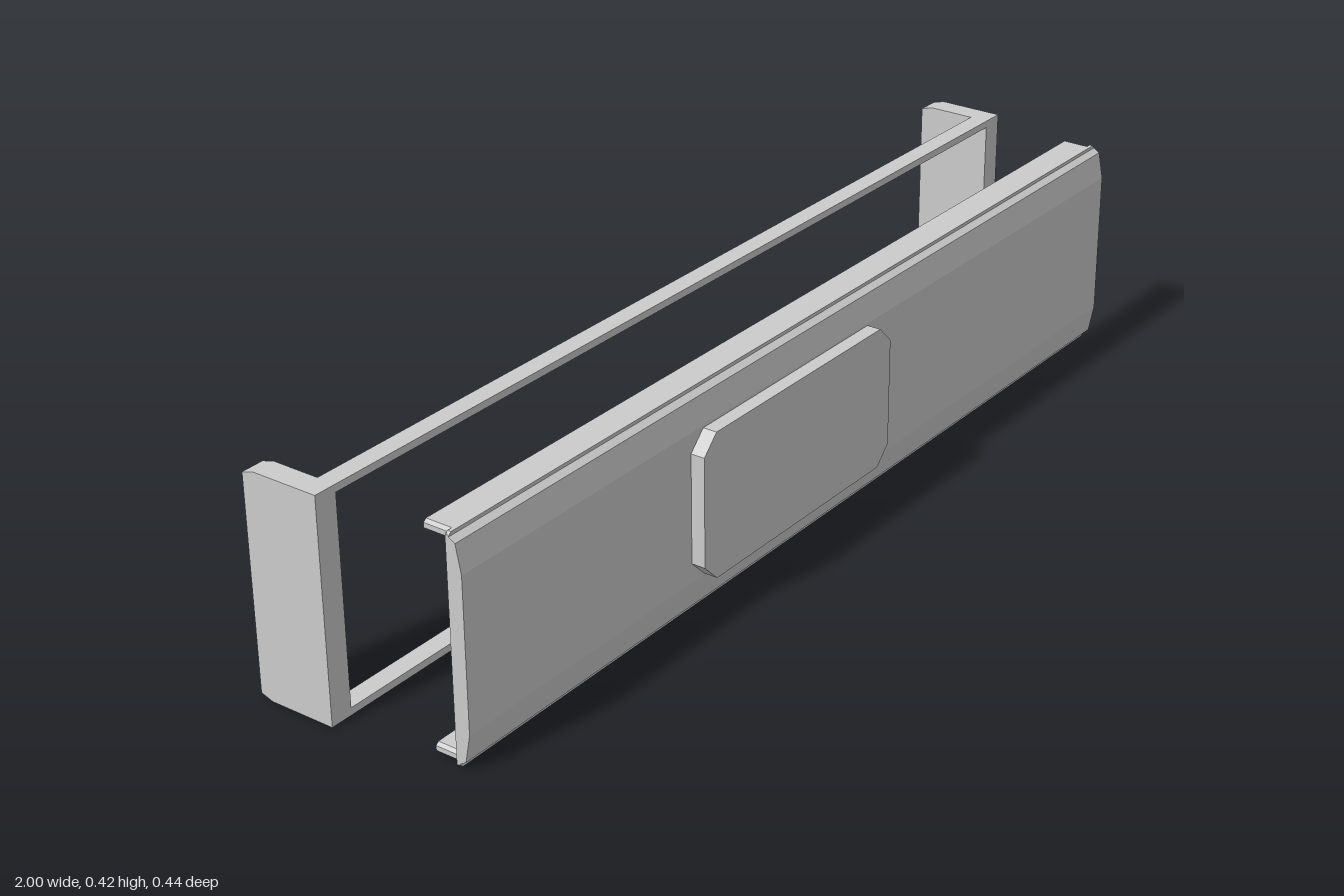
import * as THREE from 'three';

const material = new THREE.MeshStandardMaterial({ color: 0xcccccc, flatShading: true });

// Prism from a 2D outline, extruded along z from z0 to z1
function prismZ(name, points, z0, z1) {
  const shape = new THREE.Shape(points.map(([x, y]) => new THREE.Vector2(x, y)));
  const geometry = new THREE.ExtrudeGeometry(shape, { depth: z1 - z0, bevelEnabled: false });
  geometry.translate(0, 0, z0);
  const mesh = new THREE.Mesh(geometry, material);
  mesh.name = name;
  return mesh;
}

// Prism from a (z, y) outline, extruded along x from x0 to x1
function prismX(name, points, x0, x1) {
  const mesh = prismZ(name, points.map(([z, y]) => [-z, y]), 0, x1 - x0);
  mesh.geometry.rotateY(Math.PI / 2);
  mesh.geometry.translate(x0, 0, 0);
  return mesh;
}

// Rectangle with cut corners
function cutRectangle(x0, x1, y0, y1, cx, cy = cx) {
  return [
    [x0 + cx, y0], [x1 - cx, y0], [x1, y0 + cy], [x1, y1 - cy],
    [x1 - cx, y1], [x0 + cx, y1], [x0, y1 - cy], [x0, y0 + cy],
  ];
}

function box(name, x0, x1, y0, y1, z0, z1) {
  const geometry = new THREE.BoxGeometry(x1 - x0, y1 - y0, z1 - z0);
  const mesh = new THREE.Mesh(geometry, material);
  mesh.position.set((x0 + x1) / 2, (y0 + y1) / 2, (z0 + z1) / 2);
  mesh.name = name;
  return mesh;
}

export function createModel() {
  const model = new THREE.Group();
  model.name = 'drawerFront';

  // Front panel with sloped upper and lower borders
  const frontPanel = new THREE.Group();
  frontPanel.name = 'frontPanel';
  frontPanel.add(prismX('panel', [
    [0.166, 0.005], [0.185, 0.017], [0.195, 0.07],
    [0.195, 0.352], [0.185, 0.403], [0.166, 0.415],
  ], -0.97, 0.967));

  // Raised plate with cut corners, set off to one side
  frontPanel.add(prismZ('raisedPlate', cutRectangle(-0.4, 0.157, 0.073, 0.348, 0.034), 0.19, 0.222));

  // Rails running behind the panel's upper and lower edges
  for (const [name, y0, y1] of [['lowerRail', 0.002, 0.021], ['upperRail', 0.398, 0.417]]) {
    frontPanel.add(prismZ(name, cutRectangle(-0.96, 0.957, y0, y1, 0.006, 0.005), 0.115, 0.166));
    frontPanel.add(prismZ(name + 'Lip', cutRectangle(-0.97, 0.967, y0, y1, 0.006, 0.005), 0.166, 0.173));
  }
  model.add(frontPanel);

  // Rear frame: two upright end brackets joined by thin bars
  const rearFrame = new THREE.Group();
  rearFrame.name = 'rearFrame';
  const bracket = [
    [-0.068, 0], [-0.068, 0.417], [-0.198, 0.417],
    [-0.222, 0.41], [-0.222, 0.008], [-0.198, 0],
  ];
  rearFrame.add(prismX('leftBracket', bracket, 0.955, 1));
  rearFrame.add(prismX('rightBracket', bracket, -1, -0.955));
  rearFrame.add(box('lowerBar', -0.955, 0.955, 0, 0.014, -0.105, -0.068));
  rearFrame.add(box('upperBar', -0.955, 0.955, 0.403, 0.417, -0.105, -0.068));
  model.add(rearFrame);

  return model;
}
